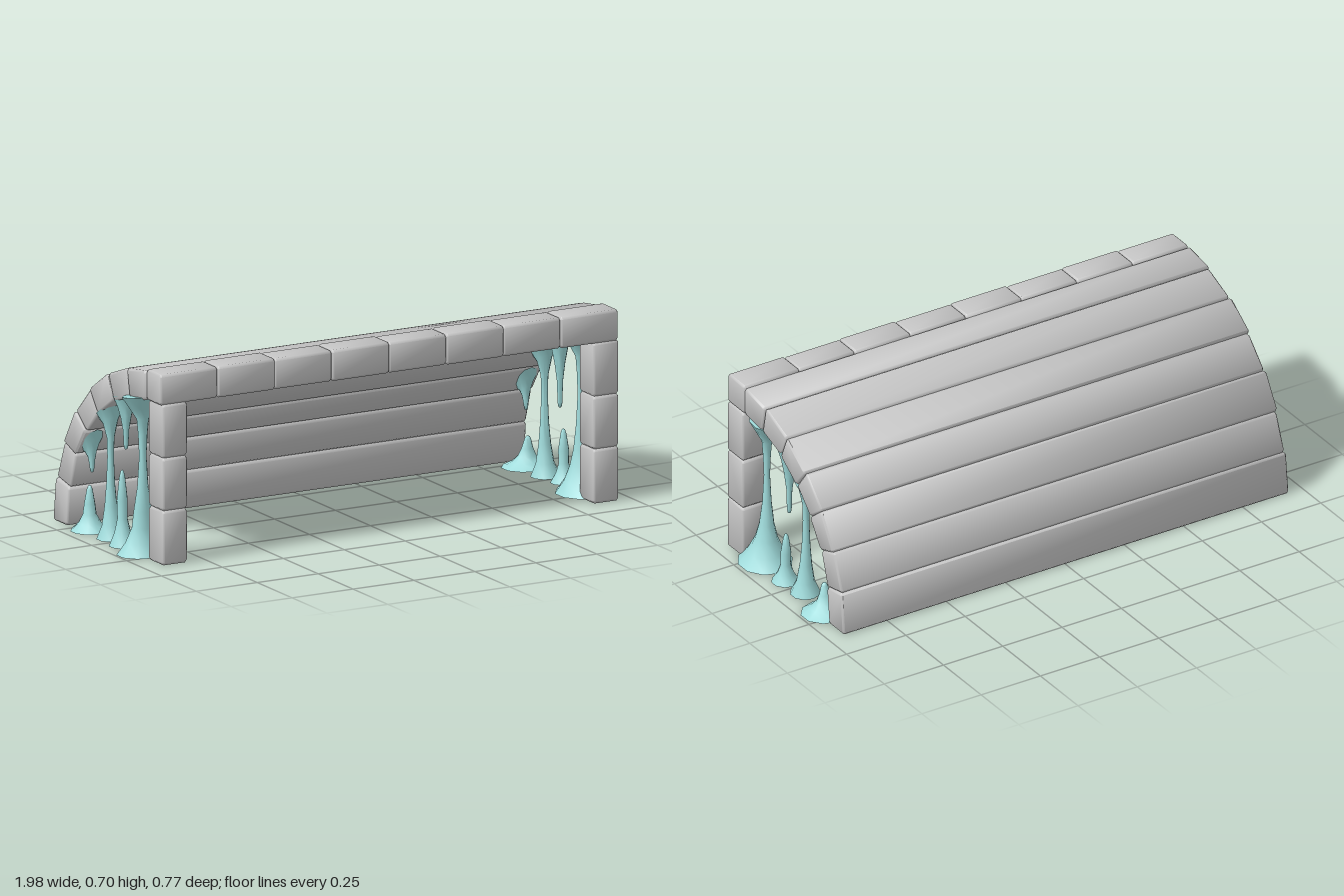
import * as THREE from 'three';
import { toCreasedNormals } from 'three/addons/utils/BufferGeometryUtils.js';

const stone = new THREE.MeshStandardMaterial({ color: 0xc4c4c4 });
stone.name = 'stone';
const slime = new THREE.MeshStandardMaterial({ color: 0xa0dcdc });
slime.name = 'slime';

// Chamfered block: corners are [z, y] pairs in order, run from x0 to x1
function block(name, corners, x0, x1, c = 0.009) {
  const shape = new THREE.Shape();
  const pts = corners.map(([z, y]) => new THREE.Vector2(-z, y));
  const n = pts.length;
  const outline = [];
  pts.forEach((p, i) => {
    for (const q of [pts[(i + n - 1) % n], pts[(i + 1) % n]]) {
      outline.push(p.clone().add(q.clone().sub(p).setLength(c)));
    }
  });
  shape.setFromPoints(outline);
  const b = c * 0.7;
  const geo = new THREE.ExtrudeGeometry(shape, {
    depth: x1 - x0 - 2 * b, bevelEnabled: true, bevelSegments: 1,
    bevelSize: b, bevelThickness: b, bevelOffset: -b,
  });
  geo.rotateY(Math.PI / 2);
  geo.translate(x0 + b, 0, 0);
  const mesh = new THREE.Mesh(toCreasedNormals(geo, 0.95), stone);
  mesh.name = name;
  return mesh;
}

const rect = (z0, z1, y0, y1) => [[z0, y0], [z1, y0], [z1, y1], [z0, y1]];

// Low-sided slime body: profile [radius, y] upward, rx widens it across x,
// slope tilts its upper part to the roof, lean shifts its foot along z
function goo(name, profile, x, z, { rx = 1, slope = 0, lean = 0, above = 0.35 } = {}) {
  const geo = new THREE.LatheGeometry(profile.map(([r, y]) => new THREE.Vector2(r, y)), 10);
  const p = geo.attributes.position;
  for (let i = 0; i < p.count; i++) {
    const y = p.getY(i), dz = p.getZ(i);
    if (y > above) p.setY(i, y + slope * dz);
    p.setX(i, x + p.getX(i) * rx);
    p.setZ(i, z + dz + lean * Math.max(0, 1 - y / 0.25) ** 2);
  }
  const mesh = new THREE.Mesh(toCreasedNormals(geo, 1.0), slime);
  mesh.name = name;
  return mesh;
}

// Foot that tapers to a rounded tip
const mound = (r, h) => [[0, 0], [r, 0], [r * 0.6, h * 0.17], [r * 0.36, h * 0.36],
  [0.02, h * 0.6], [0.011, h * 0.9], [0.006, h * 0.98], [0, h]];
// Drip that hangs from the roof at y1 to a rounded tip at y0
const drip = (r, y0, y1) => {
  const h = y1 - y0;
  return [[0, y0], [0.006, y0 + 0.004], [0.009, y0 + 0.02], [0.011, y0 + h * 0.35],
    [r * 0.42, y0 + h * 0.6], [r * 0.65, y0 + h * 0.8], [r, y1], [0, y1]];
};

export function createModel() {
  const model = new THREE.Group();
  model.name = 'stoneShelter';

  // Front lintel, eight blocks
  for (let i = 0; i < 8; i++) {
    const x = -0.935 + i * 0.2345, d = i % 2 ? 0.003 : 0;
    model.add(block('lintelBlock', rect(0.276 - d, 0.382 + d, 0.59, 0.703 + d / 2), x, x + 0.2345));
  }

  // Front posts, three blocks each
  for (const [name, x0, x1] of [['leftPost', 0.842, 0.945], ['rightPost', -0.925, -0.825]]) {
    const ys = [0, 0.2, 0.394, 0.592];
    for (let i = 0; i < 3; i++) {
      model.add(block(name, rect(0.275, 0.382, ys[i], ys[i + 1]), x0, x1));
    }
  }

  // Curved roof and back wall, long planks
  const outer = [[0.278, 0.697], [0.143, 0.677], [0, 0.624], [-0.126, 0.541],
    [-0.232, 0.436], [-0.312, 0.305], [-0.367, 0.163], [-0.385, 0]];
  const inner = [[0.278, 0.588], [0.164, 0.571], [0.04, 0.532], [-0.066, 0.462],
    [-0.155, 0.375], [-0.226, 0.274], [-0.268, 0.143], [-0.283, 0]];
  for (let i = 0; i < 7; i++) {
    const e = i % 2 ? 0.006 : 0;
    model.add(block('roofPlank', [outer[i], outer[i + 1], inner[i + 1], inner[i]], -0.94 + e, 0.938 - e / 2));
  }

  // Slime at both open ends; the two ends differ slightly in size
  for (const s of [1, -1]) {
    const left = s > 0;
    const end = new THREE.Group();
    end.name = left ? 'leftSlime' : 'rightSlime';
    const r = left ? 0.105 : 0.08;
    end.add(goo('thickColumn', [[0, 0], [r, 0], [r * 0.66, 0.045], [r * 0.42, 0.1], [0.029, 0.16],
      [0.018, 0.25], [0.012, 0.36], [0.015, 0.44], [0.02, 0.5], [0.042, 0.54], [0.068, 0.585], [0, 0.585]],
      s * (left ? 0.89 : 0.905), left ? 0.203 : 0.2,
      { rx: left ? 0.95 : 1.15, slope: 0.14, lean: left ? 0.012 : -0.012 }));
    end.add(goo('thinMound', mound(0.051, left ? 0.197 : 0.278), s * 0.905, 0.052, { lean: 0.005 }));
    end.add(goo('thinDrip', drip(0.047, left ? 0.275 : 0.35, 0.552), s * 0.89, 0.054, { slope: 0.33 }));
    end.add(goo('thinColumn', [[0, 0], [0.055, 0], [0.034, 0.05], [0.023, 0.12], [0.016, 0.2],
      [0.012, 0.3], [0.014, 0.37], [0.028, 0.43], [0.052, 0.475], [0, 0.475]],
      s * 0.89, -0.057, { slope: 0.72, lean: 0.006, above: 0.4 }));
    end.add(goo('backMound', mound(left ? 0.086 : 0.07, left ? 0.116 : 0.167), s * 0.9, -0.19,
      { rx: left ? 1.1 : 1, lean: left ? -0.015 : 0 }));
    end.add(goo('backDrip', drip(0.04, 0.211, 0.33), s * 0.89, -0.19, { slope: 1.2, above: 0.25 }));
    model.add(end);
  }
  return model;
}
